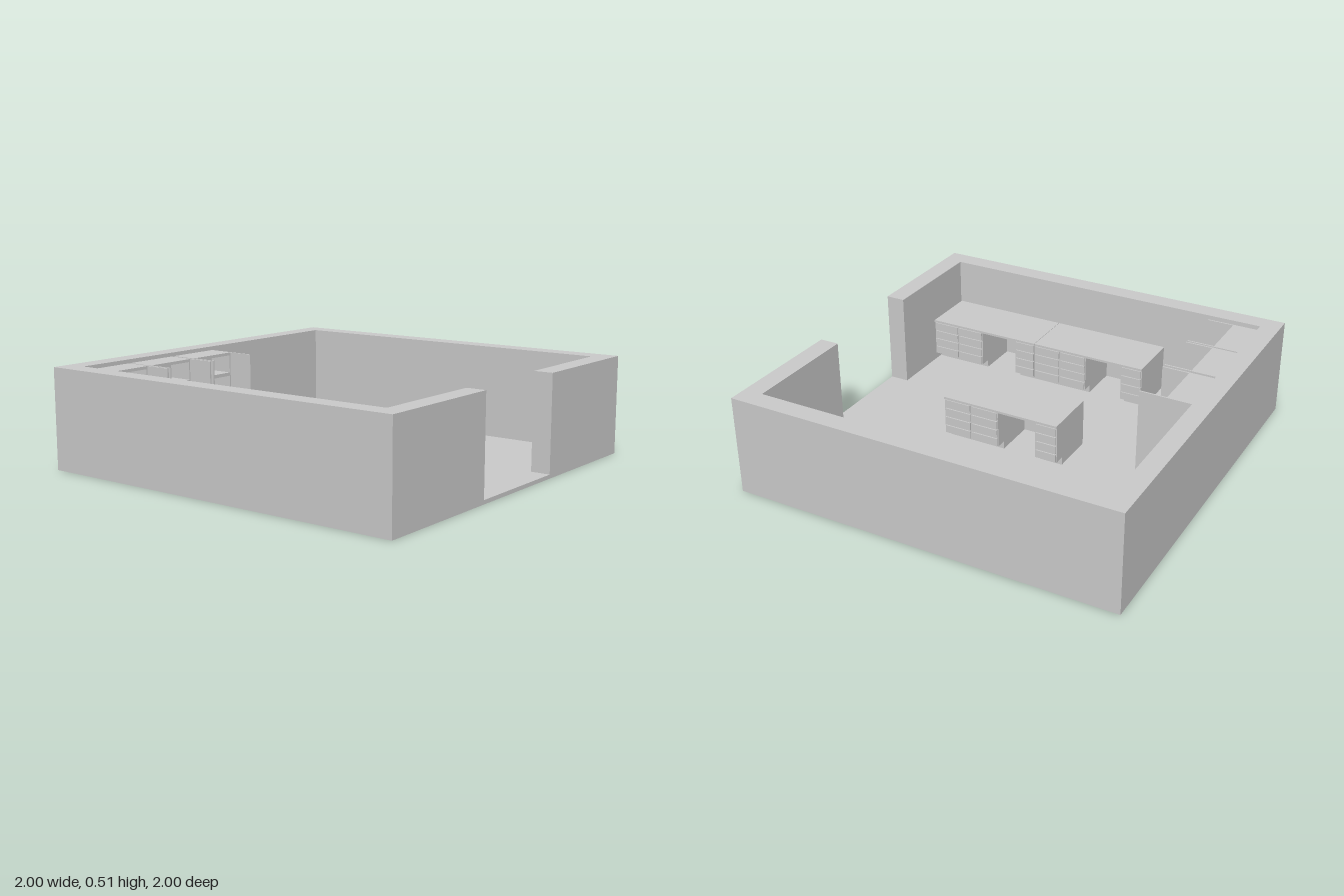
import * as THREE from 'three';

const grey = new THREE.MeshStandardMaterial({ color: 0xcccccc, flatShading: true });
const FLOOR = 0.02;

// Box given by its minimum and maximum corners
function box(parent, name, [x0, y0, z0], [x1, y1, z1]) {
  const mesh = new THREE.Mesh(new THREE.BoxGeometry(x1 - x0, y1 - y0, z1 - z0), grey);
  mesh.position.set((x0 + x1) / 2, (y0 + y1) / 2, (z0 + z1) / 2);
  mesh.name = name;
  parent.add(mesh);
  return mesh;
}

// Floor slab and a U-shaped wall with a doorway in the front
function makeRoom() {
  const room = new THREE.Group();
  room.name = 'room';
  box(room, 'floor', [-1, 0, -1], [1, FLOOR, 1]);
  const plan = [[-0.3, 1], [-1, 1], [-1, -1], [1, -1], [1, 1], [0.3, 1],
    [0.3, 0.9], [0.9, 0.9], [0.9, -0.9], [-0.9, -0.9], [-0.9, 0.9], [-0.3, 0.9]];
  const shape = new THREE.Shape(plan.map(([x, z]) => new THREE.Vector2(x, -z)));
  const geometry = new THREE.ExtrudeGeometry(shape, { depth: 0.51 - FLOOR, bevelEnabled: false });
  geometry.rotateX(-Math.PI / 2);
  const walls = new THREE.Mesh(geometry, grey);
  walls.position.y = FLOOR;
  walls.name = 'walls';
  room.add(walls);
  return room;
}

// Open cabinet: back, sides, shelves and two doors swung straight forward
function makeCabinet() {
  const cabinet = new THREE.Group();
  cabinet.name = 'cabinet';
  const w = 0.29, top = 0.49, back = -0.9, front = -0.76;
  box(cabinet, 'cabinetBack', [0, FLOOR, back], [w, top, back + 0.01]);
  for (const x of [0, w - 0.015]) {
    box(cabinet, 'cabinetSide', [x, FLOOR, back], [x + 0.015, top, front]);
  }
  const shelves = [[FLOOR, 0.038], [0.122, 0.143], [0.245, 0.262], [0.365, 0.383], [0.475, top]];
  for (const [y0, y1] of shelves) {
    box(cabinet, 'shelf', [0.015, y0, back + 0.01], [w - 0.015, y1, front]);
  }
  for (const x of [0, w - 0.008]) {
    box(cabinet, 'cabinetDoor', [x, FLOOR, front], [x + 0.008, top, -0.62]);
  }
  return cabinet;
}

// Desk with drawers facing +x, a kneehole and a closed back
function makeDesk() {
  const desk = new THREE.Group();
  desk.name = 'desk';
  const hx = 0.15, hz = 0.318, bodyTop = 0.258, toe = 0.062;
  box(desk, 'deskTop', [-hx, bodyTop, -hz], [hx, 0.27, hz]);
  box(desk, 'deskBack', [-hx, FLOOR, -hz], [-hx + 0.015, bodyTop, hz]);

  // Pedestals: [start z, end z, number of drawer stacks]
  for (const [z0, z1, stacks] of [[-hz, -0.198, 1], [0.01, hz, 2]]) {
    box(desk, 'pedestal', [-hx + 0.015, toe, z0], [hx - 0.008, bodyTop, z1]);
    box(desk, 'plinth', [-hx + 0.015, FLOOR, z0], [0.085, toe, z1]);
    const width = (z1 - z0) / stacks;
    const step = (bodyTop - toe) / 4;
    for (let s = 0; s < stacks; s++) {
      for (let i = 0; i < 4; i++) {
        const z = z0 + s * width, y = toe + i * step;
        box(desk, 'drawerFront', [hx - 0.008, y + 0.004, z + 0.005],
          [hx - 0.001, y + step - 0.004, z + width - 0.005]);
      }
    }
  }
  return desk;
}

export function createModel() {
  const model = new THREE.Group();
  model.name = 'office';
  model.add(makeRoom());

  // Cabinets along the back wall
  for (const x of [-0.894, -0.593, -0.286]) {
    const cabinet = makeCabinet();
    cabinet.position.x = x;
    model.add(cabinet);
  }

  // One desk in the middle, two end to end beside the wall
  for (const [x, z] of [[0, 0.057], [-0.744, -0.063], [-0.744, 0.575]]) {
    const desk = makeDesk();
    desk.position.set(x, 0, z);
    model.add(desk);
  }
  return model;
}
